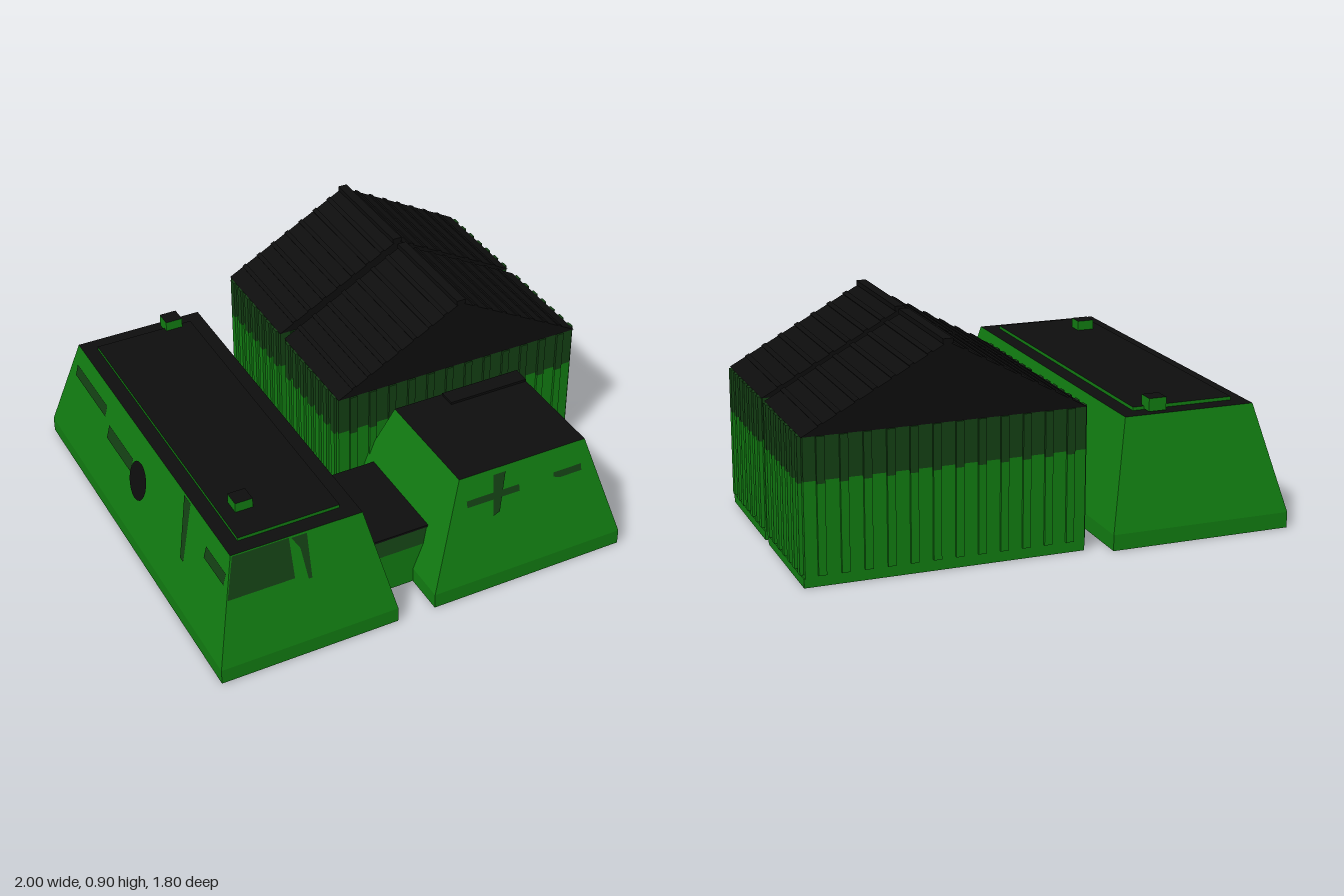
import * as THREE from 'three';
import { mergeGeometries } from 'three/addons/utils/BufferGeometryUtils.js';

const mat = (name, color) => {
  const m = new THREE.MeshStandardMaterial({ color });
  m.name = name;
  return m;
};

export function createModel() {
  const green = mat('green', 0x117a11);
  const dark = mat('darkGreen', 0x133f13);
  const black = mat('black', 0x0d0d0d);
  const model = new THREE.Group();

  const add = (parent, name, geo, material) => {
    const m = new THREE.Mesh(geo, material);
    m.name = name;
    parent.add(m);
    return m;
  };
  const group = (name) => {
    const g = new THREE.Group();
    g.name = name;
    model.add(g);
    return g;
  };
  const box = (x0, x1, y0, y1, z0, z1) =>
    new THREE.BoxGeometry(x1 - x0, y1 - y0, z1 - z0)
      .translate((x0 + x1) / 2, (y0 + y1) / 2, (z0 + z1) / 2);

  // Sloped walls through rectangular rings [x0, x1, z0, z1, y]
  // with material 0 on the sides and 1 on top and bottom
  const loft = (rings) => {
    const corners = rings.map(([x0, x1, z0, z1, y]) =>
      [[x0, y, z1], [x1, y, z1], [x1, y, z0], [x0, y, z0]]);
    const pos = [];
    const quad = (a, b, c, d) => pos.push(...a, ...b, ...c, ...a, ...c, ...d);
    for (let r = 0; r + 1 < corners.length; r++) {
      for (let i = 0; i < 4; i++) {
        const j = (i + 1) % 4;
        quad(corners[r][i], corners[r][j], corners[r + 1][j], corners[r + 1][i]);
      }
    }
    const sides = pos.length / 3;
    quad(...corners[corners.length - 1]);
    quad(...[...corners[0]].reverse());
    const geo = new THREE.BufferGeometry();
    geo.setAttribute('position', new THREE.Float32BufferAttribute(pos, 3));
    geo.computeVertexNormals();
    geo.addGroup(0, sides, 0);
    geo.addGroup(sides, 12, 1);
    return geo;
  };

  // Flat plate lying on a sloped wall; u runs to the right as seen from outside
  const SKIRT = 0.065, TOP = 0.497;
  const plate = (parent, name, points, material, wall, lift = 0.003) => {
    const shape = new THREE.Shape(points.map(([u, y]) => new THREE.Vector2(u, y)));
    const geo = new THREE.ShapeGeometry(shape);
    const p = geo.attributes.position;
    for (let i = 0; i < p.count; i++) {
      const t = (p.getY(i) - SKIRT) / (TOP - SKIRT);
      p.setZ(i, wall.base + (wall.top - wall.base) * t + lift);
    }
    geo.computeVertexNormals();
    add(parent, name, geo.rotateY(wall.angle), material);
  };
  const rect = (u0, u1, y0, y1) => [[u0, y0], [u1, y0], [u1, y1], [u0, y1]];
  const disc = (u, y, r) => Array.from({ length: 20 }, (_, i) => {
    const a = (i / 20) * Math.PI * 2;
    return [u + r * Math.cos(a), y + r * Math.sin(a)];
  });

  // Long bunker
  const long = group('longBunker');
  add(long, 'longBunkerBody', loft([
    [-1, -0.24, -0.9, 0.9, 0], [-1, -0.24, -0.9, 0.9, SKIRT], [-0.89, -0.335, -0.78, 0.775, TOP],
  ]), [green, black]);
  add(long, 'roofSlab', box(-0.83, -0.4, TOP, 0.511, -0.71, 0.71),
    [green, green, black, black, green, green]);
  for (const [x, z] of [[-0.737, 0.535], [-0.485, -0.72]]) {
    add(long, 'vent', box(x - 0.037, x + 0.037, 0.5, 0.553, z - 0.035, z + 0.035),
      [green, green, black, black, green, green]);
  }
  const longFront = { base: 0.9, top: 0.775, angle: 0 };
  const longBack = { base: 0.9, top: 0.78, angle: Math.PI };
  const longSide = { base: 1, top: 0.89, angle: -Math.PI / 2 };
  plate(long, 'frontPatch', [[-0.93, 0.33], [-0.65, 0.33], [-0.65, 0.494], [-0.885, 0.494]], dark, longFront);
  plate(long, 'frontStrip', [[-0.595, 0.31], [-0.58, 0.31], [-0.575, 0.49], [-0.64, 0.49], [-0.61, 0.44]], dark, longFront);
  plate(long, 'backStrip', [[0.6, 0.1], [0.64, 0.1], [0.66, 0.49], [0.585, 0.49]], green, longBack);
  plate(long, 'sideSlit', rect(-0.75, -0.41, 0.37, 0.42), dark, longSide);
  plate(long, 'sidePatch', rect(-0.36, -0.1, 0.3, 0.36), dark, longSide);
  plate(long, 'sideStrip', [[0.43, 0.25], [0.46, 0.25], [0.42, 0.49], [0.36, 0.49]], dark, longSide);
  plate(long, 'sideSlitFar', rect(0.6, 0.78, 0.37, 0.42), dark, longSide);
  plate(long, 'sidePort', disc(-0.02, 0.31, 0.08), black, longSide, 0.006);

  // Small bunker
  const small = group('smallBunker');
  add(small, 'smallBunkerBody', loft([
    [-0.075, 0.79, 0.13, 0.9, 0], [-0.075, 0.79, 0.13, 0.9, SKIRT], [0.09, 0.67, 0.25, 0.775, TOP],
  ]), [green, black]);
  add(small, 'smallRoofSlab', box(0.31, 0.67, TOP, 0.507, 0.255, 0.33), black);
  const smallFront = { base: 0.9, top: 0.775, angle: 0 };
  const smallSide = { base: 0.79, top: 0.67, angle: Math.PI / 2 };
  plate(small, 'frontSlit', rect(0.11, 0.35, 0.375, 0.403), dark, smallFront);
  plate(small, 'frontStreak', [[0.22, 0.31], [0.25, 0.32], [0.295, 0.475], [0.24, 0.475]], dark, smallFront, 0.005);
  plate(small, 'frontSlitRight',
    [[0.51, 0.385], [0.54, 0.375], [0.64, 0.375], [0.64, 0.403], [0.51, 0.403]], dark, smallFront);
  plate(small, 'sidePatch', [[-0.5, 0.3], [-0.42, 0.33], [-0.42, 0.4], [-0.49, 0.4]], dark, smallSide);
  plate(small, 'sideStreak', rect(-0.525, -0.49, 0.2, 0.3), dark, smallSide);
  plate(small, 'sidePort', disc(-0.51, 0.31, 0.075), black, smallSide, 0.006);

  // Passage joining the bunkers
  const passage = group('passage');
  add(passage, 'passageWalls', loft([
    [-0.26, -0.01, 0.2, 0.72, 0], [-0.26, -0.01, 0.2, 0.72, 0.18],
  ]), [green, black]);
  add(passage, 'passageUpperWalls', loft([
    [-0.27, -0.01, 0.2, 0.72, 0.18], [-0.28, 0, 0.245, 0.7, 0.247],
  ]), [dark, black]);
  add(passage, 'passageRoof', box(-0.28, 0, 0.245, 0.254, 0.245, 0.705), black);

  // Two corrugated sheds
  const X0 = -0.138, X1 = 0.98, EAVE = 0.58, BAND = 0.41;
  const RIDGE_X = 0.42, RIDGE_Y = 0.885;
  const ribs = (y0, y1, z0, z1) => {
    const parts = [];
    const row = (a, b, n, make) => {
      for (let i = 0; i < n; i++) make(a + ((b - a) * (i + 0.5)) / n);
    };
    row(X0 + 0.02, X1 - 0.02, 12, (x) =>
      parts.push(box(x - 0.016, x + 0.016, y0, y1, z0 - 0.011, z1 + 0.011)));
    row(z0, z1, 7, (z) =>
      parts.push(box(X0 - 0.011, X1 + 0.015, y0, y1, z - 0.016, z + 0.016)));
    return mergeGeometries(parts);
  };
  for (const [z0, z1] of [[-0.85, -0.35], [-0.302, 0.192]]) {
    const shed = group('shed');
    const plateSides = [green, green, green, black, green, green];
    add(shed, 'shedBase', box(X0, 0.985, 0, 0.035, z0, z1), plateSides);
    add(shed, 'shedWalls', box(X0, X1, 0.035, BAND, z0, z1), green);
    add(shed, 'shedUpperWalls', box(X0, X1, BAND, EAVE, z0, z1), dark);
    add(shed, 'wallRibs', ribs(0.045, 0.4, z0, z1), green);
    add(shed, 'upperWallRibs', ribs(0.4, EAVE, z0, z1), dark);

    // Gabled roof with battens and ridge cap
    const r0 = z0 - 0.004, r1 = z1 + 0.004, len = r1 - r0;
    const gable = new THREE.Shape([
      new THREE.Vector2(X0 - 0.002, EAVE),
      new THREE.Vector2(X1 + 0.005, EAVE),
      new THREE.Vector2(RIDGE_X, RIDGE_Y),
    ]);
    add(shed, 'shedRoof',
      new THREE.ExtrudeGeometry(gable, { depth: len, bevelEnabled: false }).translate(0, 0, r0), black);
    const battens = [box(RIDGE_X - 0.02, RIDGE_X + 0.02, 0.878, 0.897, r0, r1)];
    for (const edge of [X0, X1]) {
      const slope = Math.atan2(RIDGE_Y - EAVE, RIDGE_X - edge);
      for (let i = 1; i < 8; i++) {
        const t = i / 8;
        battens.push(new THREE.BoxGeometry(0.02, 0.012, len).rotateZ(slope).translate(
          edge + (RIDGE_X - edge) * t, EAVE + (RIDGE_Y - EAVE) * t, (r0 + r1) / 2));
      }
    }
    add(shed, 'roofBattens', mergeGeometries(battens), black);
  }

  return model;
}
